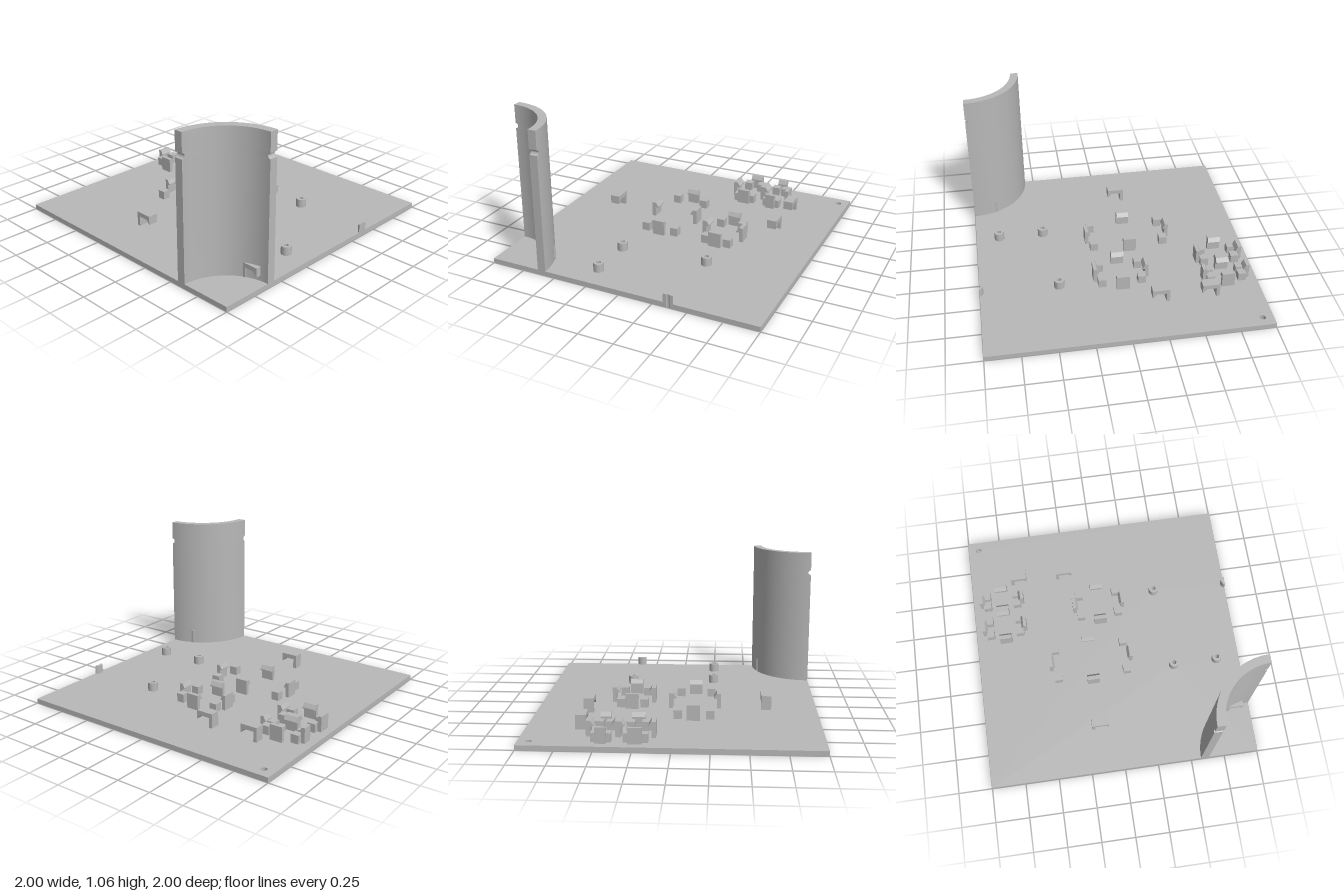
import * as THREE from 'three';
import { toCreasedNormals } from 'three/addons/utils/BufferGeometryUtils.js';

const PLATE = 0.035, POST_TOP = 0.097;

// Extrudes a floor outline, drawn as (x, -z), from y0 up to y1.
function extrudeUp(shape, y0, y1) {
  const g = new THREE.ExtrudeGeometry(shape, { depth: y1 - y0, bevelEnabled: false, curveSegments: 24 });
  g.rotateX(-Math.PI / 2);
  g.translate(0, y0, 0);
  return toCreasedNormals(g, 0.6);
}

function hole(x, z, r) {
  const p = new THREE.Path();
  p.absarc(x, -z, r, 0, Math.PI * 2, true);
  return p;
}

// Extrudes a side profile drawn as (x, y), centred on z = 0.
function extrudeSide(points, length) {
  const shape = new THREE.Shape(points.map(([x, y]) => new THREE.Vector2(x, y)));
  const g = new THREE.ExtrudeGeometry(shape, { depth: length, bevelEnabled: false });
  g.translate(0, 0, -length / 2);
  return g;
}

// Quarter tube round the corner (1, 1), with half-round notches in both end faces.
function towerGeometry() {
  const outer = 0.43, inner = 0.37, n = 32, noteY = 0.905, r = 0.02, steps = 10;
  const levels = [[PLATE - 0.005, 0]];
  for (let i = 0; i <= steps; i++) {
    const a = (i / steps) * Math.PI;
    levels.push([noteY - r * Math.cos(a), r * Math.sin(a)]);
  }
  levels.push([1.06, 0]);
  const pos = [], idx = [], ring = 2 * (n + 1);
  for (const [y, d] of levels) {
    for (let k = 0; k < ring; k++) {
      const R = k <= n ? outer : inner;
      const f = (k <= n ? k : ring - 1 - k) / n;
      const trim = Math.asin(d / R);
      const t = trim + f * (Math.PI / 2 - 2 * trim);
      pos.push(1 - R * Math.cos(t), y, 1 - R * Math.sin(t));
    }
  }
  for (let l = 0; l < levels.length - 1; l++) {
    for (let k = 0; k < ring; k++) {
      const a = l * ring + k, b = l * ring + (k + 1) % ring;
      idx.push(b, a, a + ring, b, a + ring, b + ring);
    }
  }
  const top = (levels.length - 1) * ring;
  for (let i = 0; i < n; i++) {
    const o = i, p = ring - 1 - i;
    idx.push(top + o + 1, top + o, top + p, top + o + 1, top + p, top + p - 1);
    idx.push(o, o + 1, p, o + 1, p - 1, p);
  }
  const g = new THREE.BufferGeometry();
  g.setAttribute('position', new THREE.Float32BufferAttribute(pos, 3));
  g.setIndex(idx);
  return toCreasedNormals(g.toNonIndexed(), 0.6);
}

export function createModel() {
  const model = new THREE.Group();
  model.name = 'mountingPlate';
  const grey = new THREE.MeshStandardMaterial({ color: 0xb8b8b8 });
  grey.name = 'plain grey';
  const add = (name, geometry, x = 0, y = 0, z = 0, turn = 0) => {
    const m = new THREE.Mesh(geometry, grey);
    m.name = name;
    m.position.set(x, y, z);
    m.rotation.y = turn;
    model.add(m);
  };

  // Screw posts, the last one cut off by the plate's edge
  const posts = [[0.43, -0.38], [0.49, 0.25], [0.825, 0.25]];
  const R = 0.037, r = 0.016, edgeX = 1.01, edgeZ = -0.365;
  const A = Math.acos((1 - edgeX) / R), a = Math.acos((1 - edgeX) / r);

  // Base plate with its screw holes and edge notch
  const base = new THREE.Shape();
  base.moveTo(-1, -1);
  base.lineTo(1, -1);
  base.absarc(edgeX, -edgeZ, r, -a, a, true);
  base.lineTo(1, 1);
  base.lineTo(-1, 1);
  base.holes.push(hole(-0.92, -0.925, 0.022), ...posts.map(([x, z]) => hole(x, z, r)));
  add('basePlate', extrudeUp(base, 0, PLATE));

  for (const [x, z] of posts) {
    const s = new THREE.Shape();
    s.absarc(x, -z, R, 0, Math.PI * 2, false);
    s.holes.push(hole(x, z, r));
    add('screwPost', extrudeUp(s, PLATE, POST_TOP));
  }
  const half = new THREE.Shape();
  half.absarc(edgeX, -edgeZ, R, A, Math.PI * 2 - A, false);
  half.absarc(edgeX, -edgeZ, r, -a, a, true);
  add('edgePost', extrudeUp(half, PLATE, POST_TOP));

  // Quarter-round tower
  add('tower', towerGeometry());

  // Holders: a square of support blocks inside four snap hooks
  const hookGeometry = (depth, length) => extrudeSide([
    [0, 0.03], [0.027, 0.03], [0.027, 0.107], [depth, 0.107], [depth, 0.115],
    [depth * 0.6, 0.145], [0, 0.145],
  ], length);
  const block = new THREE.BoxGeometry(0.058, POST_TOP - 0.03, 0.058);
  const endHook = hookGeometry(0.05, 0.094);
  const holders = [
    { midX: -0.772, midZ: -0.457, w: -0.945, e: -0.602, n: -0.567, s: -0.348, side: 0.072,
      bx: [-0.888, -0.658], bz: [-0.495, -0.42] },
    { midX: -0.772, midZ: -0.235, w: -0.945, e: -0.602, n: -0.364, s: -0.107, side: 0.092,
      bx: [-0.888, -0.658], bz: [-0.286, -0.18] },
    { midX: -0.022, midZ: -0.326, w: -0.225, e: 0.179, n: -0.484, s: -0.166, side: 0.092,
      bx: [-0.166, 0.123], bz: [-0.41, -0.24] },
    { midX: -0.142, midZ: 0.124, w: -0.465, e: 0.179, n: -0.06, s: 0.313, side: 0.092,
      bx: [-0.407, 0.123], bz: [0.013, 0.24] },
  ];
  for (const h of holders) {
    const sideHook = hookGeometry(0.04, h.side);
    add('rightHook', sideHook, h.w, 0, h.midZ, 0);
    add('leftHook', sideHook, h.e, 0, h.midZ, Math.PI);
    add('backHook', endHook, h.midX, 0, h.n, -Math.PI / 2);
    add('frontHook', endHook, h.midX, 0, h.s, Math.PI / 2);
    for (const x of h.bx) for (const z of h.bz) add('supportBlock', block, x, (POST_TOP + 0.03) / 2, z);
  }

  // Cable clips: a leg, an arm and a pointed tip
  const clip = extrudeSide([
    [0, 0.03], [0.025, 0.03], [0.025, 0.107], [0.095, 0.107], [0.125, 0.075], [0.125, 0.139], [0, 0.139],
  ], 0.072);
  for (const [x, z] of [[-0.685, -0.624], [-0.325, -0.624], [-0.205, 0.637], [0.817, 0.637]]) {
    add('cableClip', clip, x, 0, z);
  }
  return model;
}
